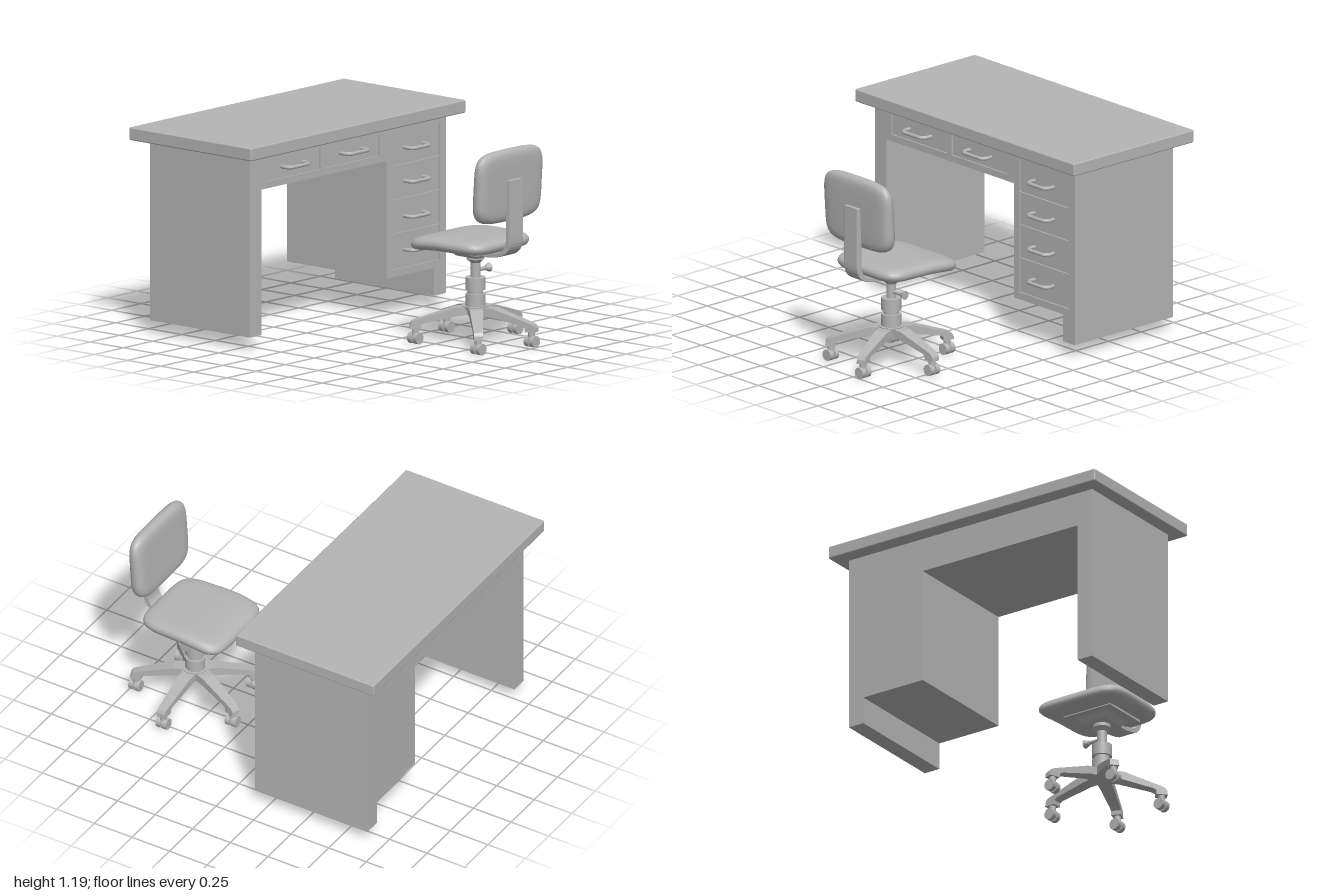
import * as THREE from 'three';
import { mergeVertices } from 'three/addons/utils/BufferGeometryUtils.js';
import { RoundedBoxGeometry } from 'three/addons/geometries/RoundedBoxGeometry.js';

const grey = new THREE.MeshStandardMaterial({ color: 0xb4b4b4 });
grey.name = 'plain grey';

function add(parent, name, geometry, x = 0, y = 0, z = 0) {
  const mesh = new THREE.Mesh(geometry, grey);
  mesh.name = name;
  mesh.position.set(x, y, z);
  parent.add(mesh);
  return mesh;
}

function polygon(points) {
  return new THREE.Shape(points.map(([x, y]) => new THREE.Vector2(x, y)));
}

const extrude = (shape, depth, bevel = 0) => new THREE.ExtrudeGeometry(shape, {
  depth, bevelEnabled: bevel > 0, bevelSize: bevel, bevelThickness: bevel,
  bevelOffset: -bevel, bevelSegments: 2, curveSegments: 10,
});

// Soft slab: a turned profile squared off into a rounded rectangle, then bent by a rule
function cushion(halfX, halfY, halfZ, bend) {
  const profile = [[0, -1], [0.3, -1], [0.55, -1], [0.75, -0.98], [0.87, -0.9], [0.95, -0.68], [0.99, -0.35],
    [1, 0], [0.99, 0.35], [0.95, 0.68], [0.87, 0.88], [0.75, 0.96], [0.55, 0.99], [0.3, 1], [0, 1]];
  let geo = new THREE.LatheGeometry(profile.map(([r, y]) => new THREE.Vector2(r, y)), 72);
  const p = geo.attributes.position;
  const v = new THREE.Vector3();
  for (let i = 0; i < p.count; i++) {
    v.fromBufferAttribute(p, i);
    const r = Math.hypot(v.x, v.z);
    if (r > 1e-6) {
      const k = (Math.abs(v.x / r) ** 5.5 + Math.abs(v.z / r) ** 5.5) ** (-1 / 5.5);
      v.x *= k;
      v.z *= k;
    }
    bend(v);
    p.setXYZ(i, v.x * halfX, v.y * halfY, v.z * halfZ);
  }
  geo.deleteAttribute('uv');
  geo.deleteAttribute('normal');
  geo = mergeVertices(geo, 1e-5);
  geo.computeVertexNormals();
  return geo;
}

// Staple-shaped pull, its two feet at z = 0
function handleGeometry(half) {
  const path = new THREE.CatmullRomCurve3([
    [-half, -0.01], [-half, 0.025], [-half + 0.018, 0.052], [-half + 0.045, 0.055],
    [half - 0.045, 0.055], [half - 0.018, 0.052], [half, 0.025], [half, -0.01],
  ].map(([x, z]) => new THREE.Vector3(x, 0, z)), false, 'centripetal');
  return new THREE.TubeGeometry(path, 40, 0.011, 10);
}

function createDesk() {
  const desk = new THREE.Group();
  desk.name = 'desk';
  add(desk, 'desktop', new RoundedBoxGeometry(1.84, 0.075, 0.92, 2, 0.008), 0, 1.153, -0.54);

  // Carcass: left panel, apron, drawer pedestal and right foot in one outline
  const outline = [[-0.84, 0.075], [-0.74, 0.075], [-0.74, 0.915], [0.33, 0.915], [0.33, 0.235],
    [0.74, 0.235], [0.74, 0.075], [0.84, 0.075], [0.84, 1.116], [-0.84, 1.116]];
  add(desk, 'carcass', extrude(polygon(outline), 0.735), 0, 0, -0.91);

  // Drawers: [x0, x1, y0, y1, handle half length, handle height]
  const drawers = [[-0.7, -0.235, 0.955, 1.08, 0.09, 1.02], [-0.195, 0.27, 0.955, 1.08, 0.09, 1.02]];
  [[0.877, 1.07, 0.97], [0.681, 0.871, 0.777], [0.484, 0.675, 0.574], [0.277, 0.478, 0.38]]
    .forEach(([y0, y1, h]) => drawers.push([0.373, 0.788, y0, y1, 0.08, h]));

  const frame = polygon(outline);
  for (const [x0, x1, y0, y1, half, hy] of drawers) {
    frame.holes.push(new THREE.Path([[x0, y0], [x0, y1], [x1, y1], [x1, y0]]
      .map(([x, y]) => new THREE.Vector2(x, y))));
    const x = (x0 + x1) / 2;
    add(desk, 'drawerFront', new THREE.BoxGeometry(x1 - x0, y1 - y0, 0.006), x, (y0 + y1) / 2, -0.172);
    add(desk, 'drawerHandle', handleGeometry(half), x - (half < 0.09 ? 0.008 : 0), hy, -0.16);
  }
  add(desk, 'frontFrame', extrude(frame, 0.015), 0, 0, -0.175);
  return desk;
}

function createChair() {
  const chair = new THREE.Group();
  chair.name = 'chair';
  chair.position.set(0.18, 0, 0.645);

  // Seat cushion, front edge drooping and back a little narrower
  add(chair, 'seat', cushion(0.278, 0.041, 0.27, (v) => {
    if (v.z < 0) v.y -= 0.75 * v.z * v.z;
    v.x *= 0.965 - 0.035 * v.z;
  }), 0, 0.592, -0.035);

  // Backrest, leaning back and thinner toward the top
  const back = add(chair, 'backrest', cushion(0.275, 0.045, 0.208, (v) => {
    v.y = v.y * (1 + 0.12 * v.z) - 0.3 * v.z;
    v.x *= 0.985 - 0.015 * v.z;
    v.z *= 1.015 - 0.03 * v.x * v.x;
  }), 0, 0.946, 0.243);
  back.rotation.x = Math.PI / 2;

  // Bent flat bar carrying the backrest, drawn as (z, y) and swept across x
  const bar = new THREE.Shape();
  bar.moveTo(-0.05, 0.515);
  bar.lineTo(0.13, 0.518);
  bar.bezierCurveTo(0.26, 0.525, 0.312, 0.56, 0.312, 0.64);
  bar.lineTo(0.312, 0.985);
  bar.lineTo(0.277, 0.985);
  bar.lineTo(0.277, 0.65);
  bar.bezierCurveTo(0.277, 0.58, 0.25, 0.55, 0.13, 0.548);
  bar.lineTo(-0.05, 0.545);
  const barGeo = extrude(bar, 0.104, 0.004);
  barGeo.translate(0, 0, -0.052).rotateY(-Math.PI / 2);
  add(chair, 'backBar', barGeo);

  // Tapered mounting plates under the seat
  const plate = new THREE.CylinderGeometry(0.155, 0.11, 0.035, 4, 1).rotateY(Math.PI / 4);
  plate.deleteAttribute('normal');
  const flatPlate = plate.toNonIndexed();
  flatPlate.computeVertexNormals();
  add(chair, 'mountingPlate', flatPlate, 0, 0.522, 0);
  add(chair, 'seatPan', new THREE.BoxGeometry(0.32, 0.018, 0.3), 0, 0.548, 0);

  // Gas column: [top radius, bottom radius, bottom y, top y]
  [[0.05, 0.05, 0.485, 0.51], [0.05, 0.03, 0.465, 0.485], [0.028, 0.028, 0.37, 0.47], [0.057, 0.057, 0.308, 0.38],
    [0.044, 0.044, 0.28, 0.31], [0.057, 0.057, 0.2, 0.285], [0.075, 0.06, 0.165, 0.215]]
    .forEach(([top, bottom, y0, y1]) => add(chair, 'column',
      new THREE.CylinderGeometry(top, bottom, y1 - y0, 28), 0, (y0 + y1) / 2, 0));

  // Height knob
  const stem = new THREE.CylinderGeometry(0.011, 0.011, 0.09, 12).rotateZ(-Math.PI / 2);
  add(chair, 'knobStem', stem, 0.055, 0.418, 0);
  const knob = new THREE.CylinderGeometry(0.026, 0.014, 0.03, 16).rotateZ(-Math.PI / 2);
  add(chair, 'knob', knob, 0.102, 0.418, 0);

  // Five tapered arms with twin-wheel casters
  const armShape = polygon([[0, 0.168], [0.1, 0.162], [0.29, 0.122], [0.308, 0.112], [0.31, 0.088],
    [0.374, 0.088], [0.372, 0.112], [0.36, 0.13], [0.335, 0.14], [0.12, 0.208], [0, 0.214]]);
  const armGeo = extrude(armShape, 2);
  const p = armGeo.attributes.position;
  for (let i = 0; i < p.count; i++) {
    const half = 0.044 - 0.05 * Math.min(p.getX(i), 0.38);
    p.setZ(i, (p.getZ(i) - 1) * half);
  }
  armGeo.computeVertexNormals();
  const wheelGeo = new THREE.CylinderGeometry(0.033, 0.033, 0.029, 20).rotateX(Math.PI / 2);

  for (const degrees of [0, 70, 136, -136, -70]) {
    const a = THREE.MathUtils.degToRad(degrees);
    add(chair, 'baseArm', armGeo).rotation.y = -a;
    const caster = new THREE.Group();
    caster.name = 'caster';
    caster.position.set(0.342 * Math.cos(a), 0, 0.342 * Math.sin(a));
    for (const side of [-1, 1]) add(caster, 'wheel', wheelGeo, 0, 0.033, side * 0.0195);
    add(caster, 'axle', new THREE.CylinderGeometry(0.024, 0.024, 0.02, 12).rotateX(Math.PI / 2), 0, 0.036, 0);
    add(caster, 'casterStem', new THREE.CylinderGeometry(0.02, 0.02, 0.045, 14), 0, 0.075, 0);
    chair.add(caster);
  }
  return chair;
}

export function createModel() {
  const model = new THREE.Group();
  model.name = 'deskAndChair';
  model.add(createDesk(), createChair());
  return model;
}
